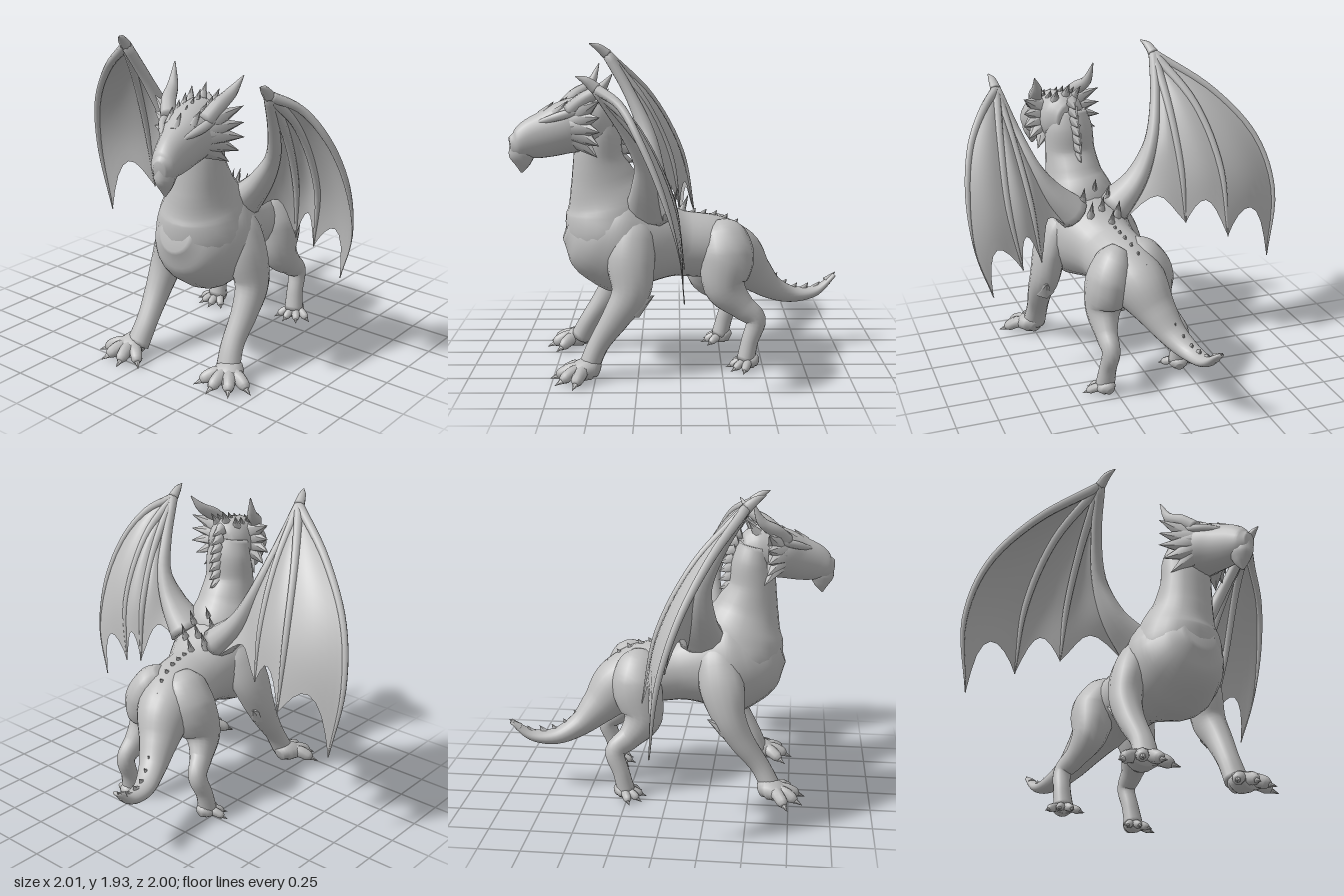
import * as THREE from 'three';

const stone = new THREE.MeshStandardMaterial({ color: 0xbebebe, side: THREE.DoubleSide });
stone.name = 'stone grey';

const V = (p) => new THREE.Vector3(p[0], p[1], p[2]);

function add(parent, name, geometry) {
  const mesh = new THREE.Mesh(geometry, stone);
  mesh.name = name;
  parent.add(mesh);
  return mesh;
}

// Smooth closed skin through stations [x, y, z, halfWidth, halfHeight]
function loft(parent, name, stations, sides = 16, steps = 5) {
  const path = new THREE.CatmullRomCurve3(stations.map(V));
  const size = new THREE.CatmullRomCurve3(stations.map((s) => new THREE.Vector3(s[3], s[4] ?? s[3], 0)));
  const span = V(stations[stations.length - 1]).sub(V(stations[0]));
  const alongX = Math.abs(span.x) > Math.max(Math.abs(span.y), Math.abs(span.z));
  const ref = alongX ? new THREE.Vector3(0, 0, 1) : new THREE.Vector3(1, 0, 0);
  const n = (stations.length - 1) * steps;
  const pos = [], idx = [];
  for (let i = -1; i <= n + 1; i++) {
    const t = Math.min(Math.max(i / n, 0), 1);
    const cap = i < 0 || i > n ? 0 : 1;
    const c = path.getPoint(t), r = size.getPoint(t), dir = path.getTangent(t);
    const side = ref.clone().addScaledVector(dir, -ref.dot(dir)).normalize();
    const up = dir.clone().cross(side);
    for (let j = 0; j < sides; j++) {
      const a = (j / sides) * Math.PI * 2;
      const p = c.clone()
        .addScaledVector(side, Math.cos(a) * Math.max(r.x, 0.003) * cap)
        .addScaledVector(up, Math.sin(a) * Math.max(r.y, 0.003) * cap);
      pos.push(p.x, p.y, p.z);
    }
  }
  for (let i = 0; i < n + 2; i++) {
    for (let j = 0; j < sides; j++) {
      const a = i * sides + j, b = i * sides + ((j + 1) % sides);
      idx.push(a, b, a + sides, a + sides, b, b + sides);
    }
  }
  const g = new THREE.BufferGeometry();
  g.setAttribute('position', new THREE.Float32BufferAttribute(pos, 3));
  g.setIndex(idx);
  g.computeVertexNormals();
  return add(parent, name, g);
}

// Pointed cone from a base point to a tip
function spike(parent, name, base, tip, radius, flat = 1) {
  const d = V(tip).sub(V(base));
  const g = new THREE.ConeGeometry(radius, d.length(), 6).translate(0, d.length() / 2, 0).scale(flat, 1, 1);
  const mesh = add(parent, name, g);
  mesh.position.copy(V(base));
  mesh.quaternion.setFromUnitVectors(new THREE.Vector3(0, 1, 0), d.normalize());
}

// Paw with thick splayed clawed toes
function foot(parent, name, x, z, yaw, s) {
  const paw = new THREE.Group();
  paw.name = name;
  paw.position.set(x, 0, z);
  paw.rotation.y = yaw;
  paw.scale.setScalar(s);
  loft(paw, 'palm', [[0, 0.055, -0.075, 0.04, 0.045], [0, 0.075, -0.03, 0.085, 0.073], [0, 0.065, 0.04, 0.1, 0.063], [0, 0.045, 0.1, 0.08, 0.04]], 12);
  for (const a of [-0.95, -0.32, 0.32, 0.95]) {
    const at = (r, y) => [Math.sin(a) * r, y, Math.cos(a) * r];
    loft(paw, 'toe', [[...at(0.03, 0.07), 0.045], [...at(0.1, 0.068), 0.043], [...at(0.16, 0.042), 0.038], [...at(0.185, 0.028), 0.022]], 8, 3);
    spike(paw, 'claw', at(0.15, 0.04), at(0.235, 0.006), 0.03);
  }
  parent.add(paw);
}

// Curved sheet between two finger curves, scalloped along its free edge
function membrane(parent, a, b) {
  const U = 8, T = 16, pos = [], idx = [];
  for (let i = 0; i <= T; i++) {
    for (let j = 0; j <= U; j++) {
      const s = j / U, bow = Math.sin(Math.PI * s);
      const t = (i / T) * (1 - 0.17 * bow);
      const p = a.getPoint(t).lerp(b.getPoint(t), s);
      pos.push(p.x, p.y, p.z - 0.03 * bow * Math.sin(Math.PI * t));
      if (i < T && j < U) {
        const k = i * (U + 1) + j;
        idx.push(k, k + 1, k + U + 1, k + U + 1, k + 1, k + U + 2);
      }
    }
  }
  const g = new THREE.BufferGeometry();
  g.setAttribute('position', new THREE.Float32BufferAttribute(pos, 3));
  g.setIndex(idx);
  g.computeVertexNormals();
  add(parent, 'wingMembrane', g);
}

function wing(parent, name, arm, fingers, claw) {
  const w = new THREE.Group();
  w.name = name;
  const wrist = arm[0];
  const radii = [0.03, 0.024, 0.02, 0.016, 0.004];
  const girth = [[0.032, 0.032], [0.033, 0.036], [0.042, 0.055], [0.07, 0.1], [0.11, 0.15]];
  loft(w, 'wingArm', arm.map((p, i) => [...p, ...girth[i]]), 12);
  const curves = fingers.map((f) => {
    const pts = [wrist, ...f];
    loft(w, 'wingFinger', pts.map((p, i) => [...p, i === pts.length - 1 ? 0.004 : radii[i]]), 8, 6);
    return new THREE.CatmullRomCurve3(pts.map(V));
  });
  // inner edge follows the arm, then drops to the flank
  const root = arm.slice(0, 4).map(V);
  root.push(V(arm[4]).add(new THREE.Vector3(0, -0.1, -0.1)));
  curves.push(new THREE.CatmullRomCurve3(root));
  for (let i = 0; i + 1 < curves.length; i++) membrane(w, curves[i], curves[i + 1]);
  loft(w, 'wingClaw', [[...wrist, 0.034], [wrist[0] + (claw[0] - wrist[0]) * 0.4, claw[1] - 0.025, (wrist[2] + claw[2]) / 2, 0.024], [...claw, 0.003]], 8);
  parent.add(w);
}

export function createModel() {
  const dragon = new THREE.Group();
  dragon.name = 'dragon';

  // Torso and tail
  loft(dragon, 'bodyAndTail', [
    [-0.175, 0.46, -0.99, 0.025, 0.012], [-0.15, 0.365, -0.87, 0.05, 0.032], [-0.12, 0.35, -0.72, 0.065, 0.05],
    [-0.06, 0.41, -0.58, 0.085, 0.075], [0.0, 0.52, -0.46, 0.12, 0.12], [0.06, 0.64, -0.34, 0.17, 0.18],
    [0.11, 0.71, -0.2, 0.195, 0.195], [0.14, 0.74, 0, 0.2, 0.2], [0.18, 0.77, 0.2, 0.26, 0.275],
    [0.2, 0.79, 0.36, 0.295, 0.335], [0.21, 0.82, 0.49, 0.265, 0.285], [0.215, 0.865, 0.6, 0.19, 0.205], [0.22, 0.89, 0.67, 0.1, 0.11],
  ], 24);

  // Neck flowing out of the chest
  loft(dragon, 'neck', [
    [0.21, 0.7, 0.39, 0.21, 0.2], [0.21, 0.84, 0.41, 0.27, 0.275], [0.215, 0.99, 0.42, 0.235, 0.265],
    [0.23, 1.13, 0.455, 0.18, 0.205], [0.24, 1.28, 0.485, 0.158, 0.15], [0.245, 1.42, 0.48, 0.15, 0.13], [0.25, 1.53, 0.5, 0.12, 0.11],
  ], 24);

  // Head, turned slightly to its left
  const head = new THREE.Group();
  head.name = 'head';
  head.position.set(0.27, 0, 0.5);
  head.rotation.y = 0.24;
  dragon.add(head);
  loft(head, 'skull', [
    [0, 1.49, -0.09, 0.09, 0.1], [0, 1.49, 0.0, 0.14, 0.165], [0, 1.475, 0.14, 0.15, 0.16], [0, 1.435, 0.27, 0.115, 0.14],
    [0, 1.405, 0.37, 0.09, 0.12], [0, 1.375, 0.455, 0.07, 0.085], [0, 1.37, 0.5, 0.035, 0.05],
  ], 20);
  loft(head, 'beak', [[0, 1.4, 0.42, 0.06, 0.075], [0, 1.32, 0.43, 0.058, 0.078], [0, 1.265, 0.43, 0.04, 0.05], [0, 1.21, 0.435, 0.006]], 12);
  for (const m of [-1, 1]) {
    loft(head, 'horn', [[m * 0.11, 1.57, 0.17, 0.045], [m * 0.15, 1.64, 0.09, 0.043], [m * 0.18 + 0.01, 1.7, 0.0, 0.032], [m * 0.21 + 0.025, 1.805 - m * 0.02, -0.06, 0.003]], 10);
    loft(head, 'brow', [[m * 0.145, 1.58, 0.1, 0.022], [m * 0.12, 1.545, 0.22, 0.026], [m * 0.06, 1.505, 0.34, 0.012]], 8);
    // cheek frill
    [0.5, 0.2, -0.1, -0.42, -0.78].forEach((a, i) => {
      const at = (r, z) => [m * Math.cos(a) * r, 1.49 + Math.sin(a) * r, z];
      spike(head, 'frillSpike', at(0.09, 0.13), at([0.31, 0.28, 0.28, 0.27, 0.26][i], 0.02), 0.08);
    });
    // crown on both sides
    for (let i = 0; i < 4; i++) {
      const z = 0.24 - i * 0.08;
      spike(head, 'crownSpike', [m * 0.065, 1.55 + i * 0.018, z], [m * 0.085, 1.63 + i * 0.022, z - 0.07], 0.033);
    }
  }
  for (let i = 0; i < 5; i++) {
    const z = 0.31 - i * 0.08;
    spike(head, 'crownSpike', [0, 1.54 + i * 0.02, z], [0, 1.62 + i * 0.026, z - 0.07], 0.034);
  }

  // Neck mane, back thorns and tail ridge
  for (let i = 0; i < 8; i++) {
    const y = 1.59 - i * 0.055, z = 0.41 - 0.025 * Math.sin(i / 2.2) - i * 0.006;
    spike(dragon, 'neckSpike', [0.245 - i * 0.003, y + 0.02, z], [0.245 - i * 0.003, y - 0.01, z - 0.09], 0.05, 0.7);
  }
  for (const [x, z] of [[0.07, 0.06], [0.1, 0.17], [0.16, 0.1], [0.17, 0.22], [0.24, 0.07], [0.26, 0.17], [0.13, 0.0]]) {
    const y = 0.91 + z * 0.6;
    spike(dragon, 'backThorn', [x, y, z], [x, y + 0.13, z - 0.05], 0.028);
  }
  const ridge = new THREE.CatmullRomCurve3([
    [0.13, 0.92, -0.06], [0.11, 0.9, -0.2], [0.07, 0.83, -0.34], [0.0, 0.64, -0.45], [-0.05, 0.49, -0.56], [-0.11, 0.395, -0.7], [-0.15, 0.39, -0.86],
  ].map(V));
  for (let i = 0; i < 14; i++) {
    const p = ridge.getPoint(i / 13);
    spike(dragon, 'tailSpike', [p.x, p.y - 0.015, p.z], [p.x, p.y + 0.035, p.z - 0.035], 0.03, 0.6);
  }
  spike(dragon, 'tailBarb', [-0.17, 0.42, -0.94], [-0.19, 0.48, -1.0], 0.03);

  // Front legs
  loft(dragon, 'leftFrontLeg', [
    [0.34, 0.96, 0.27, 0.05, 0.07], [0.4, 0.84, 0.28, 0.09, 0.125], [0.445, 0.7, 0.29, 0.1, 0.14], [0.48, 0.52, 0.29, 0.095, 0.115],
    [0.495, 0.38, 0.37, 0.08, 0.085], [0.49, 0.2, 0.485, 0.07, 0.062], [0.5, 0.07, 0.54, 0.075, 0.062],
  ]);
  spike(dragon, 'elbowSpur', [0.49, 0.42, 0.28], [0.51, 0.51, 0.15], 0.065);
  foot(dragon, 'leftFrontFoot', 0.52, 0.55, 0.3, 0.93);
  loft(dragon, 'rightFrontLeg', [
    [0.06, 0.96, 0.27, 0.05, 0.07], [-0.01, 0.84, 0.29, 0.09, 0.125], [-0.07, 0.7, 0.32, 0.1, 0.14], [-0.11, 0.52, 0.37, 0.095, 0.105],
    [-0.115, 0.37, 0.45, 0.08, 0.08], [-0.105, 0.2, 0.57, 0.07, 0.06], [-0.12, 0.07, 0.64, 0.075, 0.062],
  ]);
  spike(dragon, 'elbowSpur', [-0.12, 0.44, 0.36], [-0.17, 0.52, 0.24], 0.065);
  foot(dragon, 'rightFrontFoot', -0.15, 0.64, -0.1, 0.93);

  // Hind legs
  loft(dragon, 'leftHindLeg', [
    [0.15, 0.86, -0.24, 0.06, 0.07], [0.2, 0.8, -0.26, 0.11, 0.14], [0.245, 0.68, -0.28, 0.135, 0.165], [0.275, 0.5, -0.27, 0.11, 0.13],
    [0.29, 0.38, -0.37, 0.068, 0.08], [0.29, 0.3, -0.455, 0.055, 0.062], [0.3, 0.17, -0.42, 0.053, 0.052], [0.31, 0.05, -0.395, 0.06, 0.055],
  ]);
  foot(dragon, 'leftHindFoot', 0.31, -0.42, 0.3, 0.63);
  loft(dragon, 'rightHindLeg', [
    [0.07, 0.86, -0.19, 0.06, 0.07], [0.01, 0.8, -0.2, 0.11, 0.14], [-0.045, 0.68, -0.21, 0.14, 0.16], [-0.1, 0.49, -0.17, 0.105, 0.125],
    [-0.15, 0.38, -0.24, 0.068, 0.08], [-0.2, 0.3, -0.33, 0.055, 0.062], [-0.22, 0.17, -0.29, 0.053, 0.052], [-0.22, 0.05, -0.26, 0.06, 0.055],
  ]);
  foot(dragon, 'rightHindFoot', -0.22, -0.28, -0.2, 0.63);

  // Wings
  wing(dragon, 'rightWing',
    [[-0.32, 1.86, 0.46], [-0.28, 1.62, 0.32], [-0.21, 1.36, 0.21], [-0.1, 1.13, 0.19], [0.06, 0.96, 0.19]],
    [
      [[-0.66, 1.63, 0.28], [-0.9, 1.34, 0.13], [-0.99, 1.0, 0.03], [-0.94, 0.57, -0.02]],
      [[-0.5, 1.58, 0.19], [-0.6, 1.2, -0.01], [-0.62, 0.78, -0.1]],
      [[-0.34, 1.55, 0.22], [-0.36, 1.2, 0.06], [-0.37, 0.87, 0.0]],
    ], [-0.27, 1.93, 0.57]);
  wing(dragon, 'leftWing',
    [[0.71, 1.72, 0.46], [0.64, 1.5, 0.32], [0.56, 1.29, 0.21], [0.46, 1.12, 0.19], [0.32, 0.96, 0.19]],
    [
      [[0.82, 1.64, 0.33], [0.93, 1.46, 0.22], [0.99, 1.18, 0.1], [0.98, 0.85, 0.01], [0.89, 0.56, -0.02]],
      [[0.75, 1.5, 0.24], [0.76, 1.1, 0.05], [0.7, 0.71, -0.02]],
      [[0.67, 1.45, 0.24], [0.62, 1.1, 0.06], [0.58, 0.74, -0.01]],
    ], [0.73, 1.79, 0.57]);

  return dragon;
}
